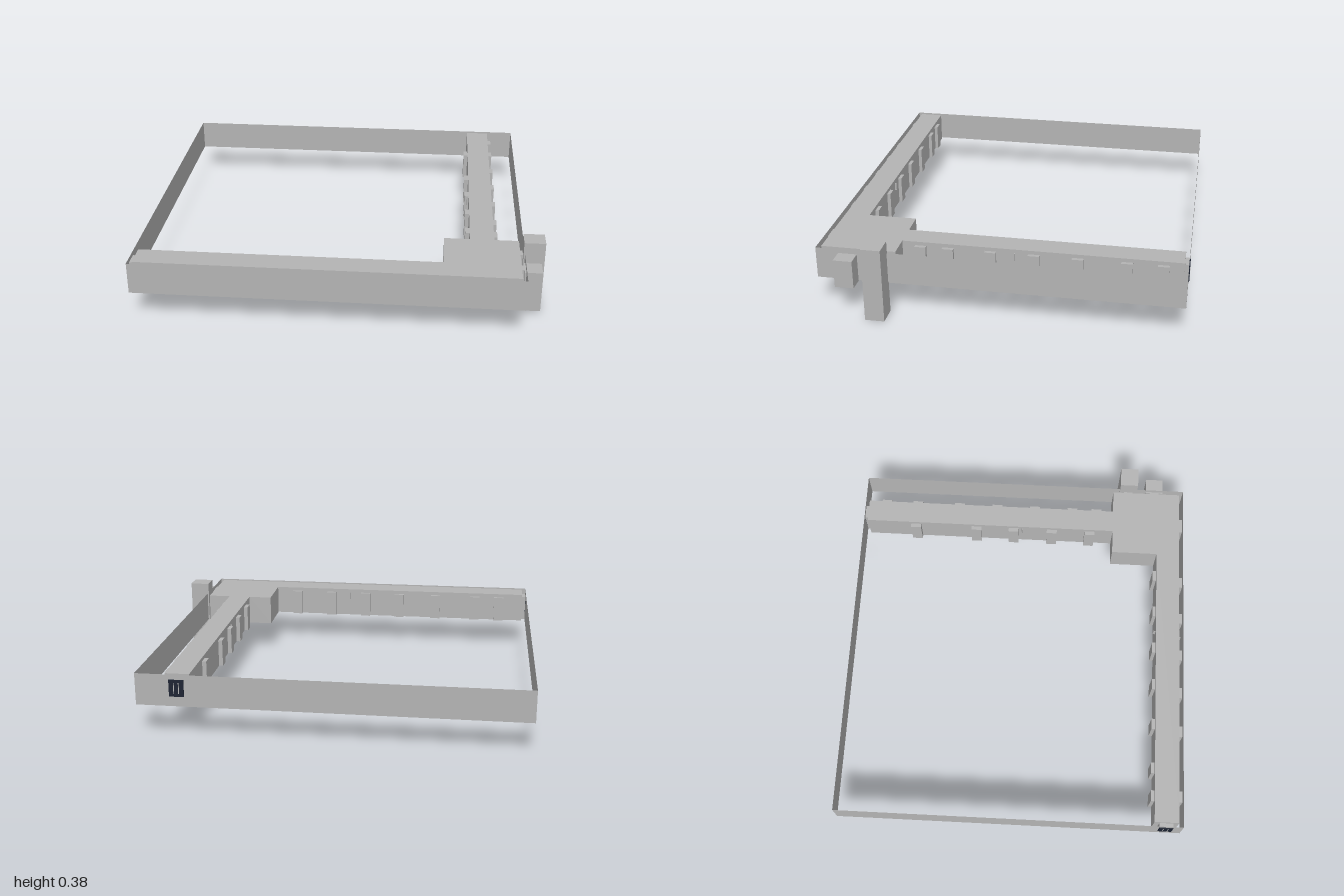
import * as THREE from 'three';

export function createModel() {
  const root = new THREE.Group();
  const grey = new THREE.MeshStandardMaterial({ color: 0xb4b4b4 });
  const wallGrey = new THREE.MeshStandardMaterial({ color: 0xb4b4b4, side: THREE.DoubleSide });
  const glass = new THREE.MeshStandardMaterial({ color: 0x1c2332 });
  grey.name = 'concrete grey';
  wallGrey.name = 'wall grey';
  glass.name = 'dark glass';

  // Box given by its lower and upper limits on each axis
  const box = (name, x0, x1, y0, y1, z0, z1, material = grey) => {
    const mesh = new THREE.Mesh(new THREE.BoxGeometry(x1 - x0, y1 - y0, z1 - z0), material);
    mesh.position.set((x0 + x1) / 2, (y0 + y1) / 2, (z0 + z1) / 2);
    mesh.name = name;
    root.add(mesh);
    return mesh;
  };
  const B = 0.16, T = 0.32, TAB = 0.3;

  // Thin perimeter wall, open above and below
  const wall = (name, length, x, z, turn) => {
    const mesh = new THREE.Mesh(new THREE.PlaneGeometry(length, T - B), wallGrey);
    mesh.position.set(x, (B + T) / 2, z);
    mesh.rotation.y = turn;
    mesh.name = name;
    root.add(mesh);
  };
  wall('frontWall', 1.9, -0.05, 0.89, 0);
  wall('backWall', 1.9, -0.05, -0.89, Math.PI);
  wall('leftWall', 1.78, 0.9, 0, Math.PI / 2);
  wall('rightWall', 1.78, -1, 0, -Math.PI / 2);

  // L-shaped building as one extruded plan, drawn in x and -z
  const plan = new THREE.Shape([
    [-0.978, 0.868], [0.878, 0.868], [0.878, 0.498], [0.757, 0.498], [0.757, -0.87],
    [0.636, -0.87], [0.636, 0.498], [0.508, 0.498], [0.508, 0.743], [-0.978, 0.743],
  ].map(([x, z]) => new THREE.Vector2(x, -z)));
  const body = new THREE.ExtrudeGeometry(plan, { depth: T - B - 0.001, bevelEnabled: false });
  body.rotateX(-Math.PI / 2);
  const building = new THREE.Mesh(body, grey);
  building.position.y = B;
  building.name = 'building';
  root.add(building);

  // Projecting bays along the front wing
  const h = 0.028;
  for (const x of [-0.84, -0.695, -0.46, -0.24, -0.035, 0.174, 0.385])
    box('innerBay', x - h, x + h, B, TAB, 0.725, 0.75);
  for (const x of [-0.84, -0.495, -0.284, -0.072, 0.139, 0.35])
    box('outerBay', x - h, x + h, B, TAB, 0.86, 0.886);
  box('entranceBay', 0.657, 0.733, B, TAB, 0.86, 0.886);

  // Projecting bays along the side wing
  for (const z of [-0.773, -0.6, -0.364, -0.152, 0.06, 0.27, 0.406])
    box('outerBay', 0.75, 0.776, B, TAB, z - h, z + h);
  for (const z of [-0.6, -0.262, -0.053, 0.16, 0.37])
    box('innerBay', 0.615, 0.64, B, TAB, z - h, z + h);

  // Bays at the wing ends
  box('wingEndBay', 0.66, 0.733, B, TAB, -0.889, -0.86);
  box('wingEndBay', -0.999, -0.97, B, TAB, 0.77, 0.84);

  // Dark end windows showing on the outside of the wall, with thin bars
  box('backWindow', 0.66, 0.733, 0.21, 0.295, -0.894, -0.889, glass);
  box('sideWindow', -1.004, -0.999, 0.21, 0.295, 0.77, 0.84, glass);
  for (const d of [-0.012, 0.012]) {
    box('windowBar', 0.6965 + d - 0.002, 0.6965 + d + 0.002, 0.225, 0.28, -0.895, -0.893);
    box('windowBar', -1.005, -1.003, 0.225, 0.28, 0.805 + d - 0.002, 0.805 + d + 0.002);
  }

  // Tower and smaller shaft, with short links to the building
  box('tower', 0.893, 0.997, 0, 0.38, 0.535, 0.631);
  box('towerLink', 0.87, 0.9, B, TAB, 0.56, 0.606);
  box('shaft', 0.893, 0.978, 0.157, 0.3, 0.684, 0.777);
  box('shaftLink', 0.87, 0.9, B, TAB, 0.707, 0.753);

  // Slanted cross plates just piercing each wing
  box('crossPlate', 0.622, 0.772, 0.26, 0.3, -0.034, -0.03).rotation.y = 0.4;
  box('crossPlate', 0.043, 0.047, 0.26, 0.3, 0.731, 0.88).rotation.y = -0.2;

  return root;
}
